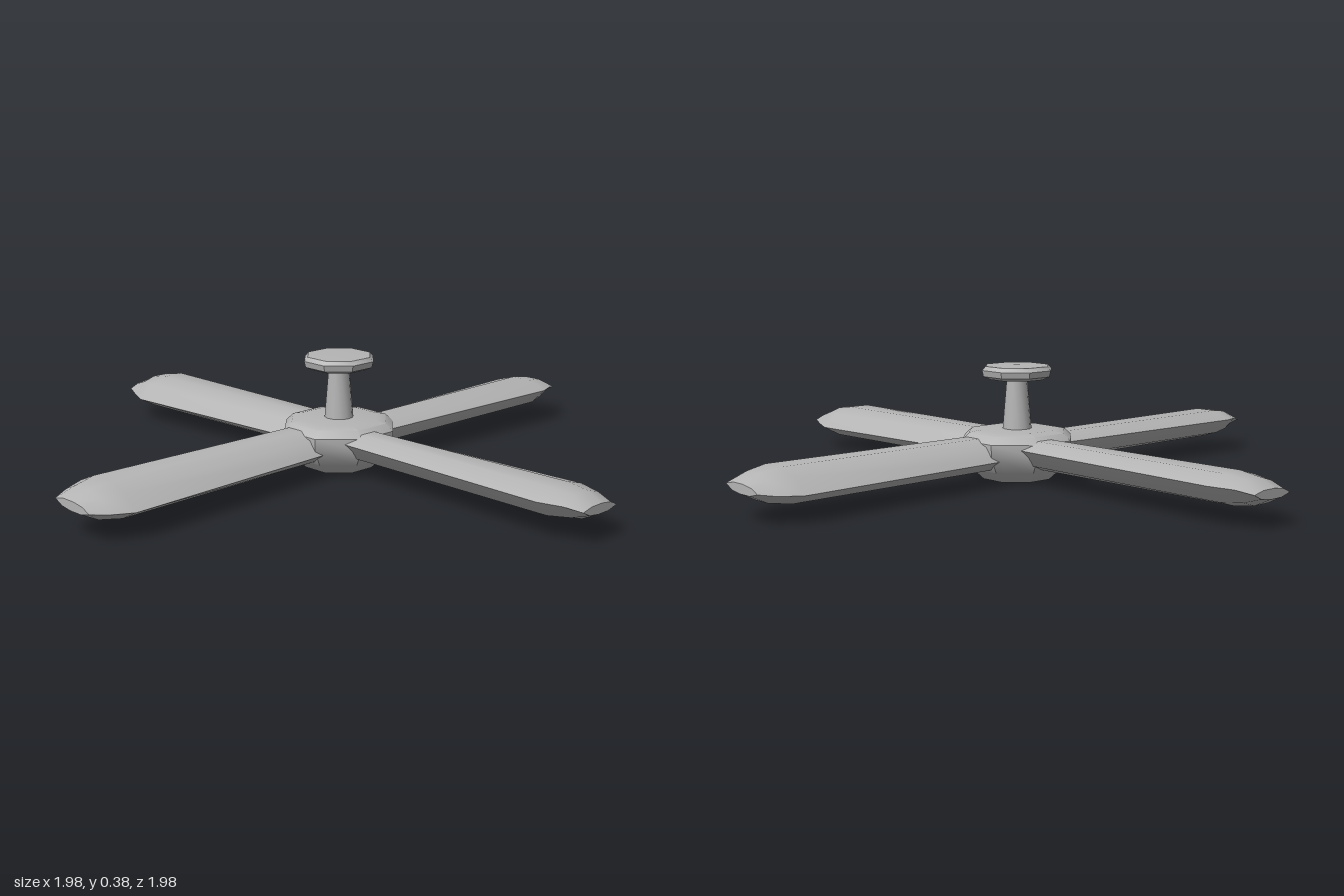
import * as THREE from 'three';
import { toCreasedNormals } from 'three/addons/utils/BufferGeometryUtils.js';

const grey = new THREE.MeshStandardMaterial({ color: 0xb4b4b4 });
grey.name = 'grey';

function part(name, geometry, crease = 0.75) {
  const mesh = new THREE.Mesh(toCreasedNormals(geometry, crease), grey);
  mesh.name = name;
  return mesh;
}

// Solid of revolution from [radius, height] points, bottom to top
function turned(name, profile, sides, crease) {
  const points = profile.map(([r, y]) => new THREE.Vector2(r, y));
  return part(name, new THREE.LatheGeometry(points, sides), crease);
}

// Blade along +x: a slightly pitched lens section swept through stations
function bladeGeometry() {
  // [across, height] with across from -1 (one edge) to 1 (other edge)
  const section = [[-1, 0.08], [-0.62, 0.126], [-0.1, 0.146], [0.5, 0.146], [1, 0.118],
    [0.6, 0.066], [0.1, 0.047], [-0.5, 0.047]];
  // [distance, half width, height scale]
  const stations = [[0.06, 0.093, 1], [0.914, 0.131, 1], [0.985, 0.102, 0.8], [1.037, 0.081, 0.3]];
  const n = section.length;
  const positions = [];
  const index = [];
  stations.forEach(([x, w, h], s) => {
    for (const [v, y] of section) positions.push(x, 0.097 + (y - 0.097) * h, 0.015 + v * w);
    if (s === 0) return;
    for (let i = 0; i < n; i++) {
      const j = (i + 1) % n;
      const a = (s - 1) * n + i, b = (s - 1) * n + j;
      index.push(a, b, b + n, a, b + n, a + n);
    }
  });
  // End caps
  const tip = (stations.length - 1) * n;
  for (let i = 1; i < n - 1; i++) {
    index.push(tip, tip + i, tip + i + 1);
    index.push(0, i + 1, i);
  }
  const geometry = new THREE.BufferGeometry();
  geometry.setAttribute('position', new THREE.Float32BufferAttribute(positions, 3));
  geometry.setIndex(index);
  return geometry;
}

export function createModel() {
  const model = new THREE.Group();
  model.name = 'ceilingFan';

  // Faceted motor hub
  model.add(turned('hub', [[0, 0], [0.115, 0.004], [0.155, 0.04], [0.19, 0.095],
    [0.19, 0.135], [0.165, 0.158], [0.13, 0.165], [0, 0.166]], 8, 0.6));

  // Tapered hanging rod
  model.add(turned('rod', [[0.048, 0.155], [0.033, 0.335]], 12));

  // Octagonal ceiling mount
  model.add(turned('ceilingMount', [[0, 0.325], [0.09, 0.327], [0.115, 0.338],
    [0.12, 0.358], [0.108, 0.371], [0, 0.375]], 8, 0.6));

  // Four blades
  const blade = bladeGeometry();
  for (let k = 0; k < 4; k++) {
    const mesh = part('blade', blade);
    mesh.rotation.y = -0.375 + k * Math.PI / 2;
    model.add(mesh);
  }
  return model;
}
